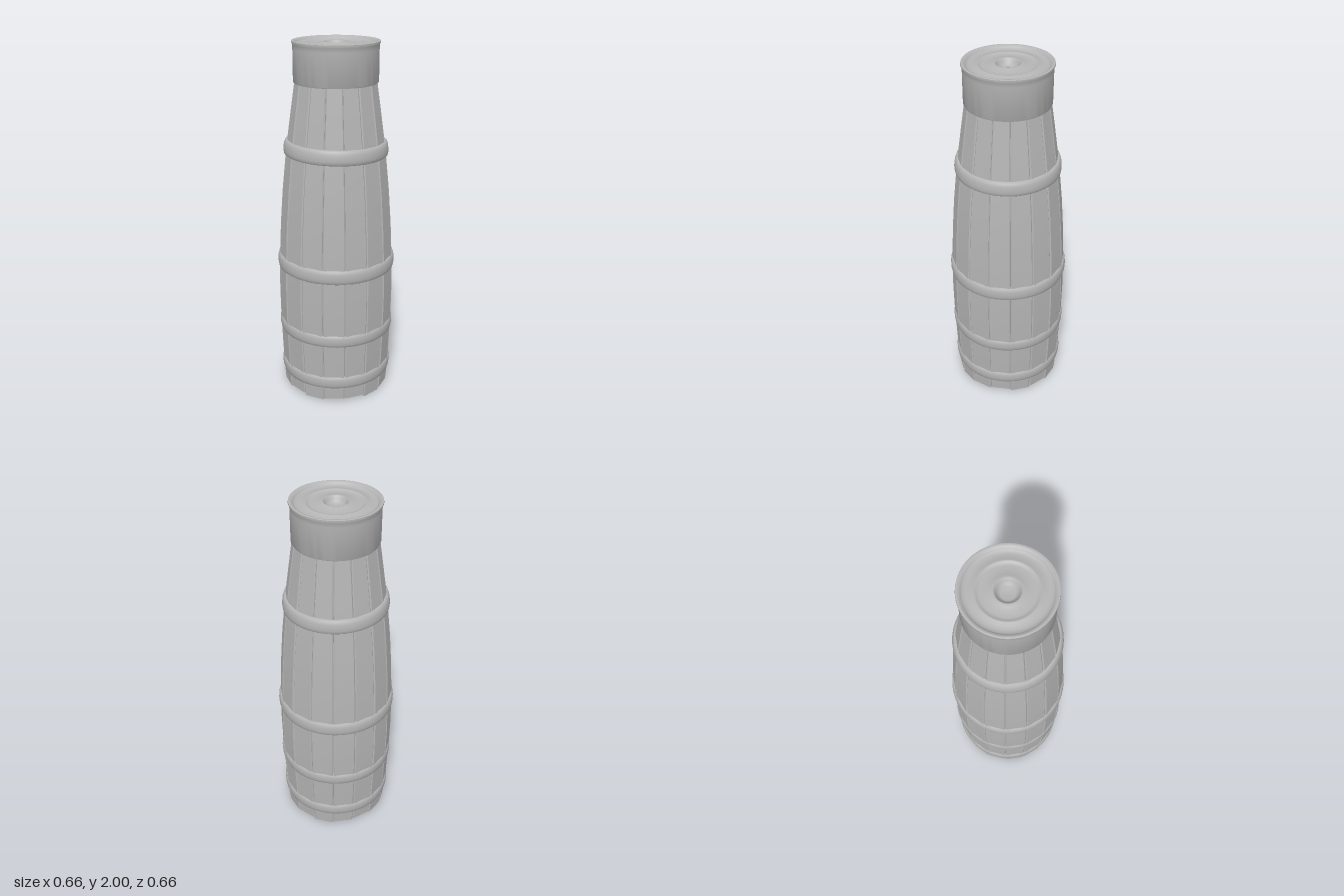
import * as THREE from 'three';
import { toCreasedNormals } from 'three/addons/utils/BufferGeometryUtils.js';

const STAVES = 16;
const HALF = Math.PI / STAVES;

// Corner radius of the barrel at each height
const PROFILE = [
  [0, 0.305], [0.12, 0.313], [0.4, 0.324], [0.6, 0.327], [0.8, 0.323], [1.0, 0.313],
  [1.2, 0.298], [1.4, 0.277], [1.5, 0.264], [1.65, 0.243], [1.82, 0.218],
];

function radiusAt(y) {
  for (let i = 1; i < PROFILE.length; i++) {
    const [y0, r0] = PROFILE[i - 1], [y1, r1] = PROFILE[i];
    if (y <= y1) return r0 + (r1 - r0) * (y - y0) / (y1 - y0);
  }
  return PROFILE[PROFILE.length - 1][1];
}

function lathe(points, segments) {
  return new THREE.LatheGeometry(points.map(([r, y]) => new THREE.Vector2(r, y)), segments);
}

// One plank with flat outer face and bevelled edges, facing +z
function staveGeometry(bottom) {
  const pos = [], index = [], n = 6;
  PROFILE.forEach(([py], i) => {
    const y = i === 0 ? bottom : py;
    const r = radiusAt(y);
    const z = r * Math.cos(HALF);
    const w = r * Math.sin(HALF) - 0.0015;
    const b = 0.005;
    const section = [[-w + 0.004, z - 0.025], [w - 0.004, z - 0.025], [w, z - b], [w - b, z + 0.001], [-w + b, z + 0.001], [-w, z - b]];
    for (const [x, sz] of section) pos.push(x, y, sz);
  });
  for (let i = 0; i < PROFILE.length - 1; i++) {
    for (let j = 0; j < n; j++) {
      const a = i * n + j, b = i * n + (j + 1) % n;
      index.push(a, a + n, b, b, a + n, b + n);
    }
  }
  // End caps
  const top = (PROFILE.length - 1) * n;
  for (let j = 1; j < n - 1; j++) {
    index.push(0, j, j + 1, top, top + j + 1, top + j);
  }
  // Loops run clockwise seen from below, so flip sides and caps to face outward
  for (let k = 0; k < index.length; k += 3) {
    const isCap = k >= (PROFILE.length - 1) * n * 6;
    if (!isCap) [index[k + 1], index[k + 2]] = [index[k + 2], index[k + 1]];
  }
  // Section runs +x then +z: outward sides need (a, b, a + n) reversed
  for (let k = 0; k < (PROFILE.length - 1) * n * 6; k += 3) {
    [index[k + 1], index[k + 2]] = [index[k + 2], index[k + 1]];
  }
  const g = new THREE.BufferGeometry();
  g.setAttribute('position', new THREE.Float32BufferAttribute(pos, 3));
  g.setIndex(index);
  return toCreasedNormals(g, 0.4);
}

// Bulging band following the barrel's slope
function hoopGeometry(y, height, radius) {
  const h = height / 2;
  const slope = (radiusAt(y + h) - radiusAt(y - h)) / height;
  const section = [[-0.03, -h], [-0.012, -h], [-0.004, -h * 0.85], [0, -h * 0.45], [0.001, 0], [0, h * 0.45], [-0.004, h * 0.85], [-0.012, h], [-0.03, h]];
  return lathe(section.map(([dr, dy]) => [radius + dr + slope * dy * 0.8, dy]), 48);
}

export function createModel() {
  const group = new THREE.Group();
  const grey = new THREE.MeshStandardMaterial({ color: 0xb4b4b4, side: THREE.DoubleSide });
  grey.name = 'plain grey';

  const add = (name, geometry, parent = group) => {
    const mesh = new THREE.Mesh(geometry, grey);
    mesh.name = name;
    parent.add(mesh);
    return mesh;
  };

  // Staves with slightly uneven lower ends
  const staves = new THREE.Group();
  staves.name = 'staves';
  group.add(staves);
  for (let i = 0; i < STAVES; i++) {
    const bottom = 0.018 * ((i * 7 + 3) % 5) / 4;
    const stave = add('stave', staveGeometry(bottom), staves);
    stave.rotation.y = (i + 0.5) * HALF * 2;
  }

  // Inner body behind the seams
  add('innerBody', lathe(PROFILE.map(([y, r]) => [r * Math.cos(HALF) - 0.012, Math.max(y, 0.02)]), 48));

  // Flat base
  const base = add('base', new THREE.CircleGeometry(0.292, 48));
  base.rotation.x = Math.PI / 2;
  base.position.y = 0.018;

  // Hoops: height of centre, band height, radius, tilt
  const hoops = [[0.122, 0.078, 0.318, 0.004], [0.39, 0.076, 0.327, -0.006], [0.78, 0.082, 0.331, -0.006], [1.432, 0.08, 0.286, -0.018]];
  for (const [y, height, radius, tilt] of hoops) {
    const hoop = add('hoop', hoopGeometry(y, height, radius));
    hoop.position.y = y;
    hoop.rotation.z = tilt;
  }

  // Collar wall with a small lip
  add('collar', toCreasedNormals(lathe([
    [0.2, 1.782], [0.226, 1.782], [0.229, 1.788], [0.229, 1.96], [0.231, 1.982],
    [0.236, 1.992], [0.235, 1.998], [0.229, 2.0], [0.22, 1.998], [0.212, 1.99],
  ], 64), 0.7));

  // Dished lid with a raised ring and a central hollow
  add('lid', lathe([
    [0.212, 1.99], [0.206, 1.983], [0.19, 1.98], [0.17, 1.983], [0.155, 1.989], [0.148, 1.99],
    [0.142, 1.984], [0.13, 1.981], [0.1, 1.983], [0.08, 1.989], [0.068, 1.993], [0.062, 1.991],
    [0.055, 1.978], [0.045, 1.964], [0.034, 1.958], [0, 1.956],
  ], 64));

  return group;
}
